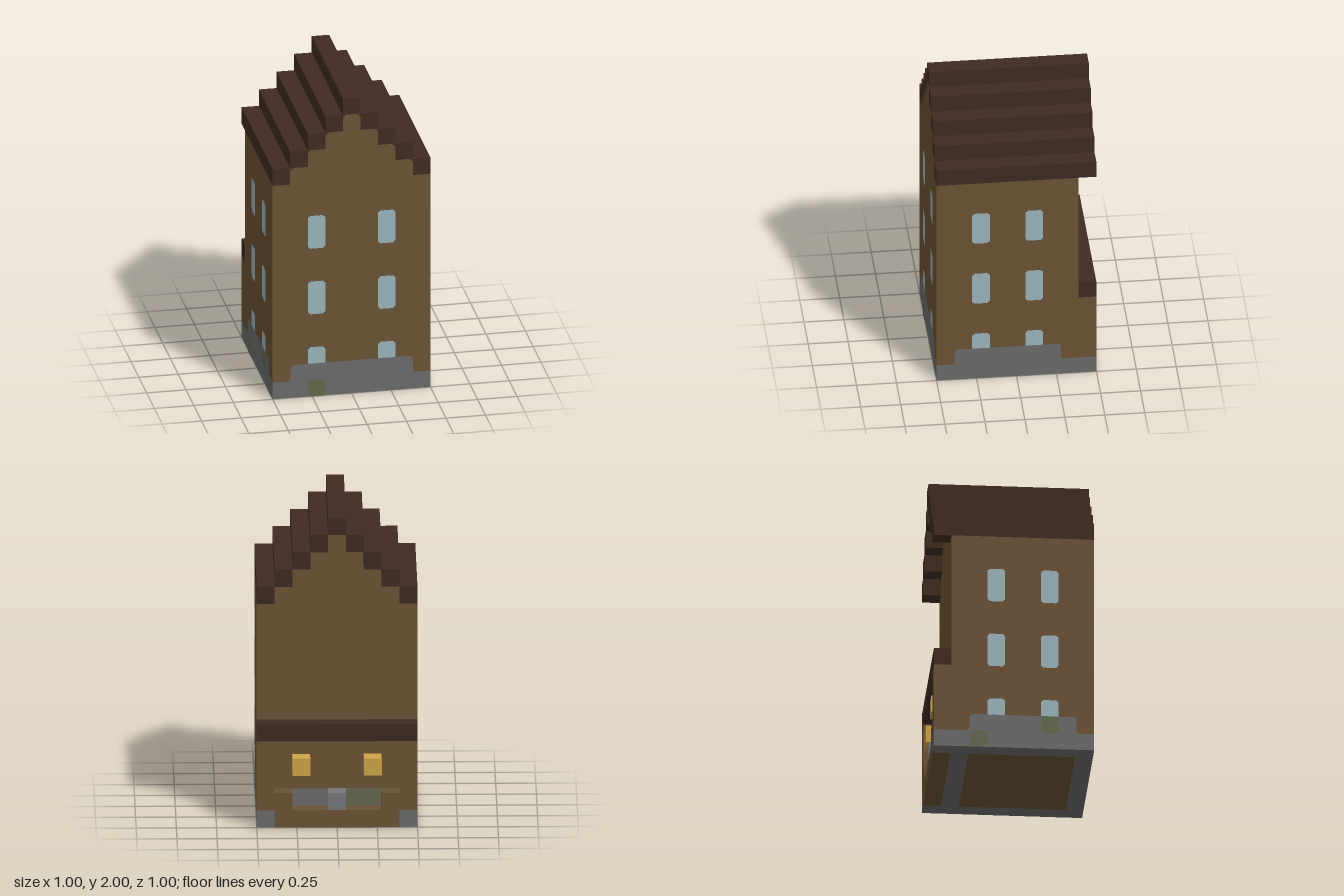
import * as THREE from 'three';

const U = 1 / 9; // one block; all sizes below are counted in blocks
const PROUD = 0.015; // how far painted plates stand off the wall, in blocks

function material(name, color) {
  const m = new THREE.MeshStandardMaterial({ color });
  m.name = name;
  return m;
}

export function createModel() {
  const wall = material('brown wall', 0x6b5335);
  const roof = material('dark roof', 0x402b22);
  const stone = material('grey stone', 0x6c6c6c);
  const glass = material('pale blue glass', 0x9bb5bd);
  const moss = material('moss', 0x65684e);
  const lampYellow = material('lamp yellow', 0xcfa647);
  const iron = material('iron', 0x75777b);

  const model = new THREE.Group();
  model.name = 'townHouse';

  function add(name, geometry, mat, parent = model) {
    const mesh = new THREE.Mesh(geometry, mat);
    mesh.name = name;
    parent.add(mesh);
    return mesh;
  }

  // Box between two corners
  function box(name, mat, x0, x1, y0, y1, z0, z1) {
    const g = new THREE.BoxGeometry((x1 - x0) * U, (y1 - y0) * U, (z1 - z0) * U);
    g.translate((x0 + x1) * U / 2, (y0 + y1) * U / 2, (z0 + z1) * U / 2);
    return add(name, g, mat);
  }

  // Flat outline from points given in blocks
  const outline = (pts) => new THREE.Shape(pts.map(([x, y]) => new THREE.Vector2(x * U, y * U)));

  // Rectangle with clipped corners
  function clipped(x0, x1, y0, y1, c = 0.14) {
    return outline([[x0 + c, y0], [x1 - c, y0], [x1, y0 + c], [x1, y1 - c],
      [x1 - c, y1], [x0 + c, y1], [x0, y1 - c], [x0, y0 + c]]);
  }

  // A group lying on one side of the house, facing outward along its own z
  function facade(name, angle, distance) {
    const g = new THREE.Group();
    g.name = name;
    g.rotation.y = angle;
    g.position.set(Math.sin(angle) * distance * U, 0, Math.cos(angle) * distance * U);
    model.add(g);
    return g;
  }
  const paint = (name, mat, shape, parent) => add(name, new THREE.ShapeGeometry(shape), mat, parent);

  // House body with a stepped gable, extruded front to back
  const right = [[4.5, 1], [4.5, 13]];
  for (let k = 0; k < 4; k++) right.push([3.5 - k, 13 + k], [3.5 - k, 14 + k]);
  const left = right.map(([x, y]) => [-x, y]).reverse();
  const body = new THREE.ExtrudeGeometry(outline([...right, ...left]), { depth: 8 * U, bevelEnabled: false });
  body.translate(0, 0, -3.5 * U);
  add('houseWalls', body, wall);

  // Stepped roof beams
  for (let k = 0; k < 5; k++) {
    const c = 4 - k;
    for (const x of c ? [-c, c] : [0]) box('roofStep', roof, x - 0.5, x + 0.5, 13 + k, 14 + k, -4.5, 4.5);
  }

  // Foundation ring and floor
  box('foundationFront', stone, -4.5, 4.5, 0, 1, 3.5, 4.5);
  box('foundationBack', stone, -4.5, 4.5, 0, 1, -3.5, -2.5);
  box('floor', wall, -3.5, 3.5, 0, 1, -2.5, 3.5);
  for (const s of [-1, 1]) {
    box('foundationSide', stone, s * 4 - 0.5, s * 4 + 0.5, 0, 1, -2.5, 3.5);
    box('foundationCorner', stone, s * 4 - 0.5, s * 4 + 0.5, 0, 1, -4.5, -3.5);
  }

  // Rear stall: sill, posts, counter ends, canopy
  box('stallSill', wall, -3.5, 3.5, 0, 1, -4.5, -3.5);
  box('stallCanopy', roof, -4.5, 4.5, 5, 6, -4.5, -3.5);
  for (const s of [-1, 1]) {
    box('stallPost', wall, s * 4 - 0.5, s * 4 + 0.5, 1, 5, -4.5, -3.5);
    box('counterEnd', wall, s * 3 - 0.5, s * 3 + 0.5, 1, 2, -4.5, -3.5);
    box('lamp', lampYellow, s * 2 - 0.5, s * 2 + 0.5, 3, 4, -4.5, -3.5);
  }
  box('ironBlock', iron, -0.5, 0.5, 1, 2, -4.5, -3.5);

  // Painted windows and stone courses on the three outer walls
  const sides = [
    { name: 'frontFacade', angle: 0, windows: [-2, 2], course: [-3.5, 3.5], moss: [[-2, 0]] },
    { name: 'leftFacade', angle: Math.PI / 2, windows: [-2, 1], course: [-3.5, 2.5], moss: [] },
    { name: 'rightFacade', angle: -Math.PI / 2, windows: [-1, 2], course: [-2.5, 3.5], moss: [[-2, 0], [2, 1]] },
  ];
  for (const s of sides) {
    const g = facade(s.name, s.angle, 4.5 + PROUD);
    const [a, b] = s.course;
    const c = 0.14;
    paint('stoneCourse', stone, outline([[a - c, 1], [b + c, 1], [b, 1 + c], [b, 2 - c],
      [b - c, 2], [a + c, 2], [a, 2 - c], [a, 1 + c]]), g);
    for (const x of s.windows) {
      paint('lowWindow', glass, outline([[x - 0.5, 2], [x + 0.5, 2], [x + 0.5, 3 - c],
        [x + 0.5 - c, 3], [x - 0.5 + c, 3], [x - 0.5, 3 - c]]), g);
      for (const y of [5, 9]) paint('window', glass, clipped(x - 0.5, x + 0.5, y, y + 2), g);
    }
    for (const [x, y] of s.moss) {
      paint('mossPatch', moss, clipped(x - 0.5, x + 0.5, y, y + 1), g).position.z = PROUD * U;
    }
  }

  // Stone course and moss on the wall inside the stall
  const inner = facade('stallBackWall', Math.PI, 3.5 + PROUD);
  paint('stallStone', stone, outline([[-2.5, 1], [2.5, 1], [2.5, 2], [-2.5, 2]]), inner);
  paint('stallMoss', moss, clipped(0.5, 2.5, 1, 2), inner).position.z = PROUD * U;

  // Clipped dark corners where the gable meets each roof step
  for (const [angle, d] of [[0, 4.5], [Math.PI, 3.5]]) {
    const g = facade('gableCorners', angle, d + PROUD);
    for (let k = 0; k < 4; k++) {
      const x = 3.5 - k, y = 14 + k, c = 0.18;
      paint('gableCorner', roof, outline([[x, y], [x - c, y], [x, y - c]]), g);
      paint('gableCorner', roof, outline([[-x, y], [-x, y - c], [c - x, y]]), g);
    }
  }

  return model;
}
